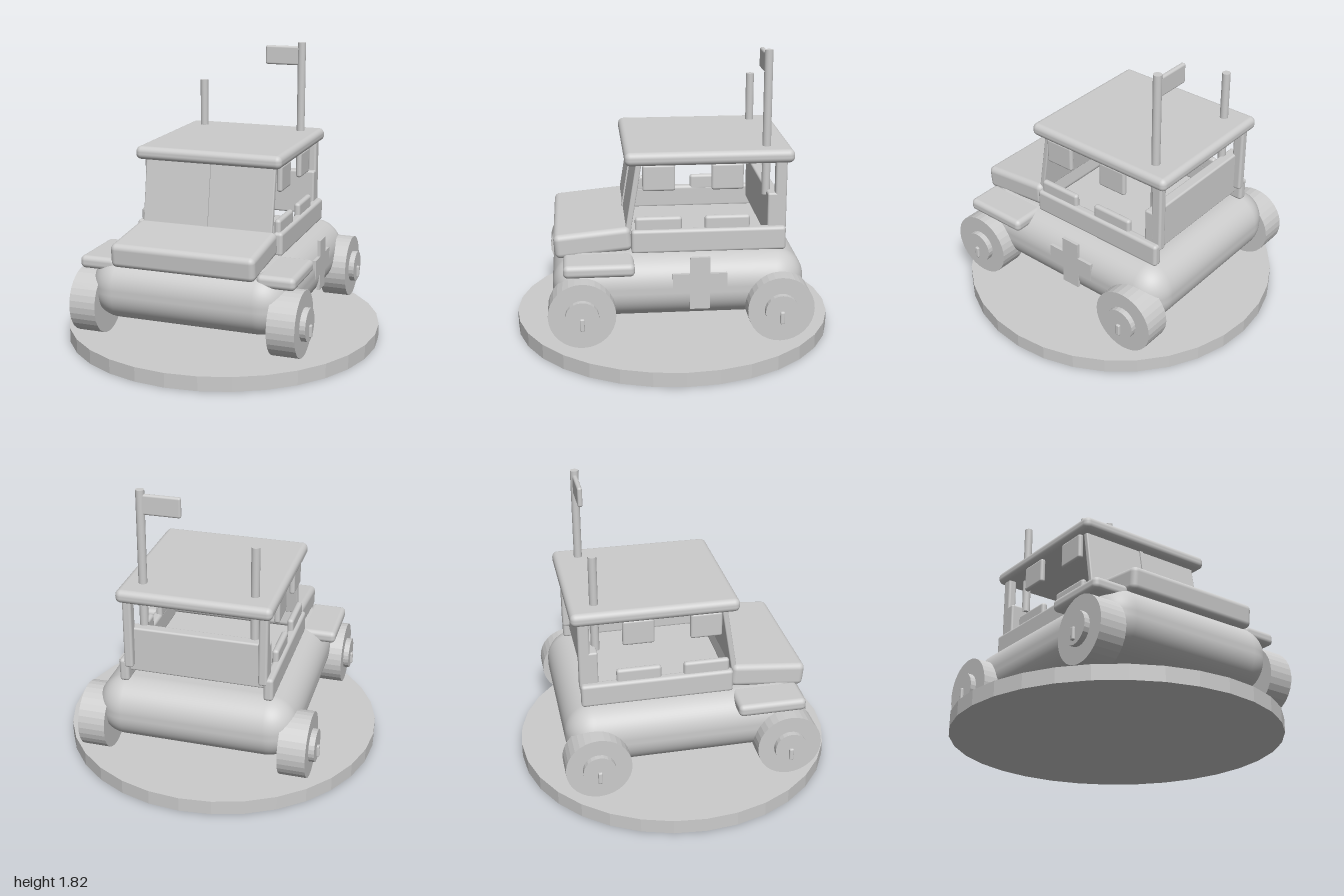
import * as THREE from 'three';
import { RoundedBoxGeometry } from 'three/addons/geometries/RoundedBoxGeometry.js';

export function createModel() {
  const model = new THREE.Group();
  model.name = 'toyTruck';
  const grey = new THREE.MeshStandardMaterial({ color: 0xcccccc });
  grey.name = 'plainGrey';

  const add = (name, geometry, x, y, z, parent = model) => {
    const mesh = new THREE.Mesh(geometry, grey);
    mesh.name = name;
    mesh.position.set(x, y, z);
    parent.add(mesh);
    return mesh;
  };
  // Rounded box given by its extents on each axis
  const block = (name, [x0, x1], [y0, y1], [z0, z1], radius) =>
    add(name, new RoundedBoxGeometry(x1 - x0, y1 - y0, z1 - z0, 4, radius),
      (x0 + x1) / 2, (y0 + y1) / 2, (z0 + z1) / 2);
  // Cylinder with flat facets
  const faceted = (radius, height, sides) => {
    const g = new THREE.CylinderGeometry(radius, radius, height, sides).toNonIndexed();
    g.computeVertexNormals();
    return g;
  };

  // Stand
  add('stand', faceted(1, 0.09, 32), 0, 0.045, 0);

  // Body and bonnet
  const body = add('body', new RoundedBoxGeometry(1.24, 0.39, 1.52, 8, 0.18), 0, 0.435, 0);
  body.geometry.computeBoundingBox();
  const bonnet = add('bonnet', new RoundedBoxGeometry(0.9, 0.148, 0.465, 4, 0.035), 0, 0.684, 0.515);
  bonnet.rotation.x = 0.096;

  // Roof and tailgate
  block('roof', [-0.47, 0.47], [1.16, 1.242], [-0.695, 0.32], 0.035);
  block('tailgate', [-0.44, 0.44], [0.68, 0.97], [-0.61, -0.54], 0.012);

  // Leaning windscreen with its centre bar
  const screen = new THREE.Group();
  screen.name = 'windscreen';
  screen.position.set(0, 0.96, 0.268);
  screen.rotation.x = -0.16;
  model.add(screen);
  add('windscreenPanel', new RoundedBoxGeometry(0.84, 0.44, 0.034, 3, 0.008), 0, 0, 0, screen);
  add('windscreenBar', new THREE.BoxGeometry(0.025, 0.43, 0.02), -0.004, 0, 0.016, screen);

  // Parts on both sides
  for (const side of [1, -1]) {
    const span = (a, b) => (side > 0 ? [a, b] : [-b, -a]);
    block('fender', span(0.44, 0.675), [0.55, 0.628], [0.275, 0.695], 0.03);
    block('sidePanel', span(0.415, 0.475), [0.62, 0.767], [-0.65, 0.285], 0.02);
    block('rearPost', span(0.385, 0.44), [0.72, 1.18], [-0.655, -0.585], 0.015);
    for (const [z0, z1] of [[-0.02, 0.262], [-0.432, -0.158]])
      block('windowSill', span(0.415, 0.455), [0.74, 0.842], [z0, z1], 0.018);
    for (const [z0, z1] of [[0.02, 0.215], [-0.39, -0.197]])
      block('hangingPane', span(0.413, 0.448), [1.003, 1.165], [z0, z1], 0.015);

    // Wheels with hub and bolt
    for (const z of [0.59, -0.59]) {
      const wheel = new THREE.Group();
      wheel.name = 'wheel';
      wheel.position.set(0, 0.33, z);
      model.add(wheel);
      add('tyre', faceted(0.2, 0.168, 32), side * 0.621, 0, 0, wheel).rotation.z = Math.PI / 2;
      add('hub', faceted(0.1, 0.06, 24), side * 0.71, 0, 0, wheel).rotation.z = Math.PI / 2;
      add('bolt', new RoundedBoxGeometry(0.04, 0.077, 0.028, 3, 0.008), side * 0.735, -0.037, 0, wheel);
    }
  }

  // Cross on the left side
  const cross = new THREE.Shape();
  const a = 0.06, b = 0.162;
  [[-a, -b], [a, -b], [a, -a], [b, -a], [b, a], [a, a], [a, b], [-a, b], [-a, a], [-b, a], [-b, -a], [-a, -a]]
    .forEach(([x, y], i) => (i ? cross.lineTo(x, y) : cross.moveTo(x, y)));
  const plate = new THREE.ExtrudeGeometry(cross, { depth: 0.02, bevelEnabled: false });
  add('sideCross', plate, 0.605, 0.482, -0.112).rotation.y = Math.PI / 2;

  // Poles through the roof, with a small flag on the taller one
  const pole = (name, x, top) =>
    add(name, new THREE.CylinderGeometry(0.026, 0.026, top - 0.94, 16), x, (top + 0.94) / 2, -0.54);
  pole('flagPole', 0.343, 1.822);
  pole('aerial', -0.336, 1.548);
  block('flag', [0.1, 0.335], [1.673, 1.797], [-0.555, -0.525], 0.013);

  return model;
}
